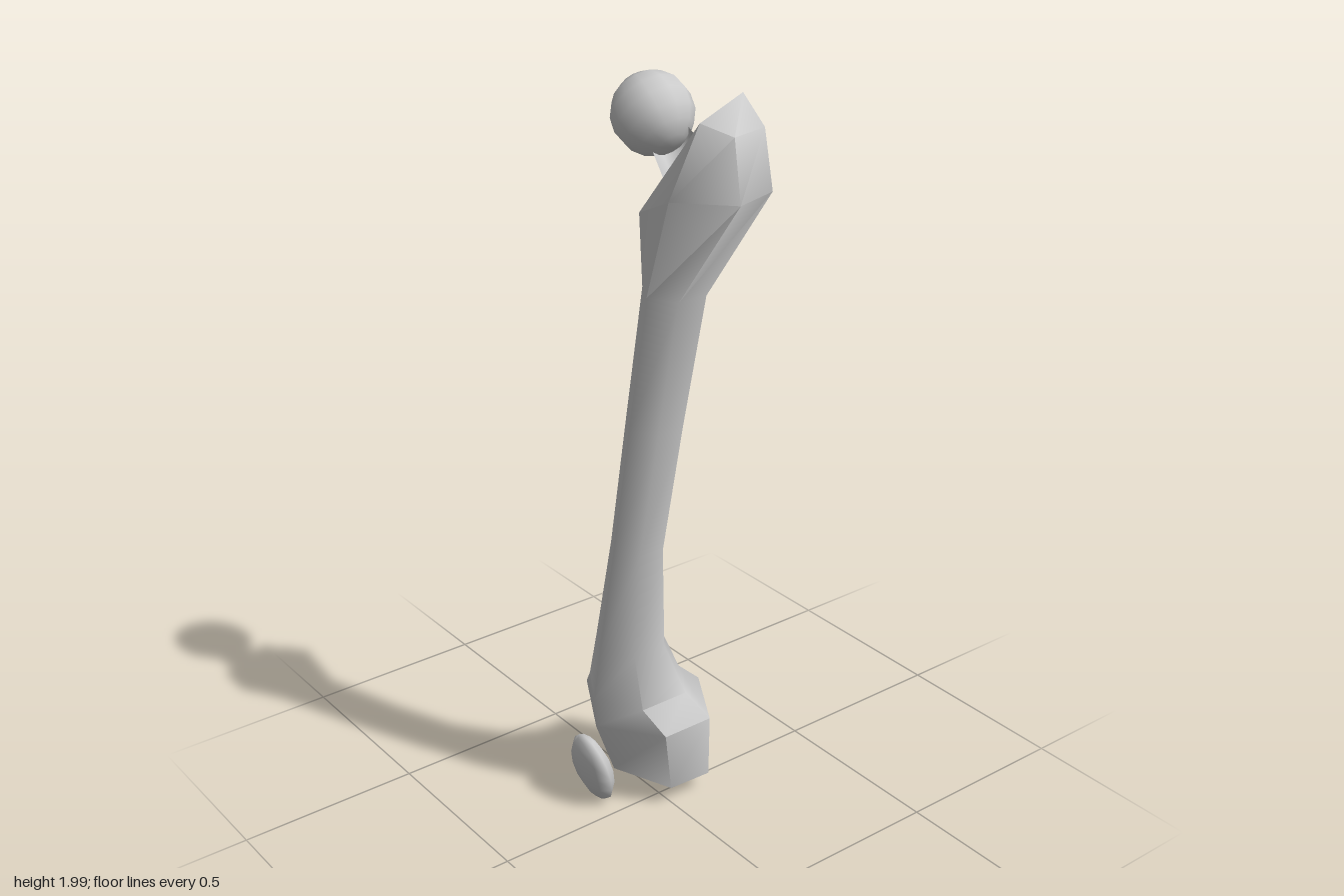
import * as THREE from 'three';
import { toCreasedNormals } from 'three/addons/utils/BufferGeometryUtils.js';

const material = new THREE.MeshStandardMaterial({ color: 0xcccccc });

// Skin a stack of equal-length point loops and close both ends
function loft(rings, crease) {
  const n = rings[0].length, last = (rings.length - 1) * n, index = [];
  for (let i = 0; i < rings.length - 1; i++) {
    for (let j = 0; j < n; j++) {
      const k = (j + 1) % n, a = i * n, b = a + n;
      index.push(a + j, a + k, b + k, a + j, b + k, b + j);
    }
  }
  for (let j = 0; j < n - 2; j++) {
    index.push(n - 1, j + 1, j);
    index.push(last + n - 1, last + j, last + j + 1);
  }
  const g = new THREE.BufferGeometry();
  g.setAttribute('position', new THREE.Float32BufferAttribute(rings.flat(2), 3));
  g.setIndex(index);
  return toCreasedNormals(g, crease);
}

// Six-sided section with corners at the front and back
function hexagon(y, x0, x1, zBack, zFront) {
  const x = (x0 + x1) / 2, z = (zBack + zFront) / 2, q = (zFront - zBack) / 4;
  return [[x0, y, z - q], [x0, y, z + q], [x, y, zFront],
    [x1, y, z + q], [x1, y, z - q], [x, y, zBack]];
}

// Round section facing along a direction in the xy plane
function disc(cx, cy, cz, radius, depth, dir, n = 8) {
  const ring = [];
  for (let i = 0; i < n; i++) {
    const t = (i / n) * Math.PI * 2, u = Math.cos(t) * radius;
    ring.push([cx - dir.y * u, cy + dir.x * u, cz + Math.sin(t) * depth]);
  }
  return ring;
}

export function createModel() {
  const group = new THREE.Group();
  const add = (name, geometry) => {
    const mesh = new THREE.Mesh(geometry, material);
    mesh.name = name;
    group.add(mesh);
    return mesh;
  };

  // Shaft with the knee end below and the hip end above
  add('shaft', loft([
    // notch between the condyles
    hexagon(0.08, -0.14, -0.02, -0.13, 0.02),
    // condyle undersides
    [[-0.23, 0.045, -0.12], [-0.23, 0.05, 0.01], [-0.085, 0.08, 0.09],
      [0.068, 0.065, 0.01], [0.068, 0.06, -0.12], [-0.085, 0.085, -0.2]],
    // widest part of the condyles
    [[-0.265, 0.26, -0.1], [-0.265, 0.26, 0.05], [-0.085, 0.24, 0.148],
      [0.095, 0.26, 0.05], [0.095, 0.26, -0.1], [-0.085, 0.26, -0.205]],
    hexagon(0.33, -0.2, 0.04, -0.13, 0.156),
    hexagon(0.5, -0.132, 0.035, -0.04, 0.156),
    hexagon(0.8, -0.068, 0.055, -0.007, 0.139),
    hexagon(1.15, -0.03, 0.102, -0.033, 0.118),
    hexagon(1.5, 0, 0.142, -0.075, 0.092),
    // flare of the hip end
    [[-0.042, 1.67, -0.07], [-0.005, 1.685, 0.055], [0.14, 1.75, 0.08],
      [0.262, 1.75, -0.033], [0.22, 1.75, -0.165], [0.055, 1.74, -0.18]],
    // hollow inner side and raised outer crest
    [[0.06, 1.72, -0.07], [0.08, 1.735, 0.01], [0.17, 1.93, 0.015],
      [0.24, 1.905, -0.03], [0.212, 1.905, -0.143], [0.118, 1.965, -0.155]],
  ], 1.13));

  // Neck, from the hip end up to the head
  const dir = new THREE.Vector2(-0.77, 0.64);
  add('neck', loft([
    disc(0.12, 1.765, -0.045, 0.1, 0.085, dir),
    disc(0.05, 1.815, -0.028, 0.062, 0.055, dir),
    disc(0.01, 1.85, -0.028, 0.05, 0.052, dir),
    disc(-0.04, 1.885, -0.03, 0.055, 0.055, dir),
  ].map((r) => r.reverse()), 1.3));

  // Ball of the hip joint, its axis along the neck
  const head = add('head', new THREE.SphereGeometry(0.102, 12, 8));
  head.position.set(-0.063, 1.898, -0.03);
  head.rotation.z = Math.atan2(0.77, 0.64);

  // Kneecap, a flattened tilted pebble
  const kneecap = add('kneecap', new THREE.SphereGeometry(1, 8, 8));
  kneecap.scale.set(0.083, 0.107, 0.038);
  kneecap.rotation.x = 0.22;
  kneecap.position.set(-0.09, 0.112, 0.158);

  return group;
}
